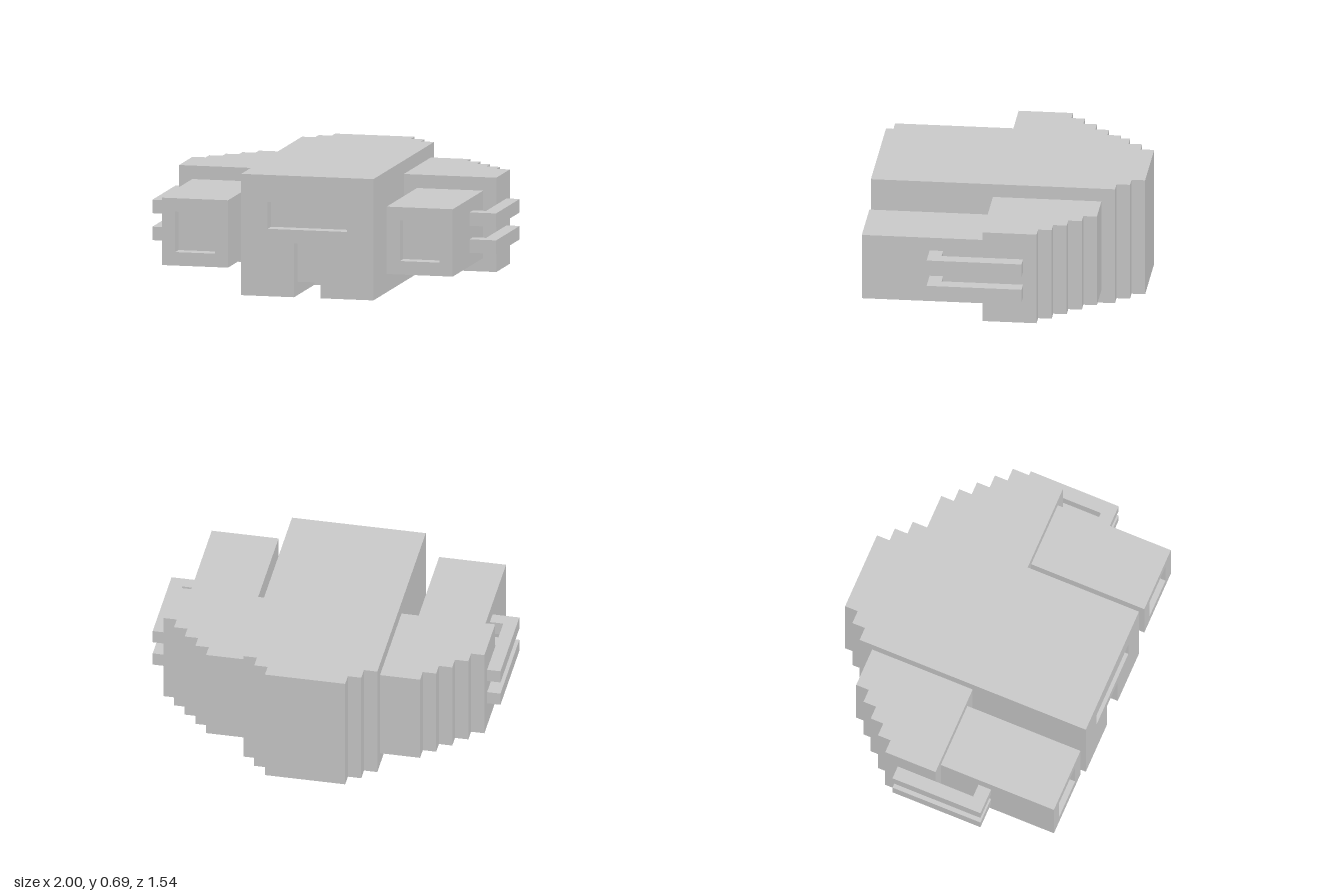
import * as THREE from 'three';

const U = 1 / 13; // one grid step
const grey = new THREE.MeshStandardMaterial({ color: 0xcccccc, flatShading: true });

const toShape = (pts) => new THREE.Shape(pts.map(([x, y]) => new THREE.Vector2(x, y)));
const rect = (x0, y0, x1, y1) => [[x0, y0], [x1, y0], [x1, y1], [x0, y1]];

function mesh(name, geometry) {
  const m = new THREE.Mesh(geometry, grey);
  m.name = name;
  return m;
}

// Plan outline of [x, z] points, raised from y0 to y1
function planBlock(name, pts, y0, y1) {
  const shape = toShape(pts.map(([x, z]) => [x, -z]));
  const g = new THREE.ExtrudeGeometry(shape, { depth: y1 - y0, bevelEnabled: false });
  return mesh(name, g.rotateX(-Math.PI / 2).translate(0, y0, 0));
}

// Front outline of [x, y] points with openings, running from z0 to z1
function frontPlate(name, pts, holes, z0, z1) {
  const shape = toShape(pts);
  holes.forEach((h) => shape.holes.push(toShape(h)));
  const g = new THREE.ExtrudeGeometry(shape, { depth: z1 - z0, bevelEnabled: false });
  return mesh(name, g.translate(0, 0, z0));
}

function box(name, x0, x1, y0, y1, z0, z1) {
  const g = new THREE.BoxGeometry(x1 - x0, y1 - y0, z1 - z0);
  return mesh(name, g.translate((x0 + x1) / 2, (y0 + y1) / 2, (z0 + z1) / 2));
}

// Staircase of unit steps going outward and forward from [x, z]
function stairs(x, z, count) {
  const pts = [];
  for (let i = 0; i < count; i++) pts.push([x + i, z + i], [x + i, z + i + 1]);
  return pts;
}

// Central hull with a stepped stern, a recessed window and doorway, and a slot in the floor
function createHull() {
  const hull = new THREE.Group();
  hull.name = 'hull';
  const half = [...stairs(3, -10, 2), [5, -8], [5, 9]];
  const mirrored = half.map(([x, z]) => [-x, z]).reverse();
  const slot = [[1, 9], [1, 4], [-1, 4], [-1, 9]];
  hull.add(planBlock('hullBody', [...half, ...mirrored], 1, 9));
  hull.add(planBlock('hullFloor', [...half, ...slot, ...mirrored], 0, 1));
  const face = [[-5, 0], [-1, 0], [-1, 4], [1, 4], [1, 0], [5, 0], [5, 9], [-5, 9]];
  hull.add(frontPlate('hullFront', face, [rect(-3, 5, 3, 7)], 9, 10));
  return hull;
}

// Stepped wing, forward pod and a pair of hooked side rails
function createSide(mirror) {
  const side = new THREE.Group();
  side.name = mirror > 0 ? 'leftSide' : 'rightSide';
  const plan = [[5, 1], [5, -7], ...stairs(8, -7, 4), [12, -3], [12, 1]];
  side.add(planBlock('wing', plan, 1, 8));
  side.add(box('pod', 6, 11, 2, 7, 1, 9));
  side.add(frontPlate('podFront', rect(6, 2, 11, 7), [rect(7, 3, 10, 6)], 9, 10));
  const rail = [[12, -2], [13, -2], [13, 5], [11, 5], [11, 4], [12, 4]];
  for (const y of [3, 5]) side.add(planBlock('sideRail', rail, y, y + 1));

  // Mirror the geometry itself so that faces keep pointing outward
  if (mirror < 0) {
    for (const m of side.children) {
      m.geometry = m.geometry.index ? m.geometry.toNonIndexed() : m.geometry;
      m.geometry.scale(-1, 1, 1);
      const p = m.geometry.attributes.position;
      const a = new THREE.Vector3();
      const b = new THREE.Vector3();
      for (let i = 0; i < p.count; i += 3) {
        a.fromBufferAttribute(p, i + 1);
        b.fromBufferAttribute(p, i + 2);
        p.setXYZ(i + 1, b.x, b.y, b.z);
        p.setXYZ(i + 2, a.x, a.y, a.z);
      }
      m.geometry.computeVertexNormals();
    }
  }
  return side;
}

export function createModel() {
  const model = new THREE.Group();
  model.name = 'blockShip';
  model.add(createHull(), createSide(1), createSide(-1));
  model.scale.setScalar(U);
  return model;
}
